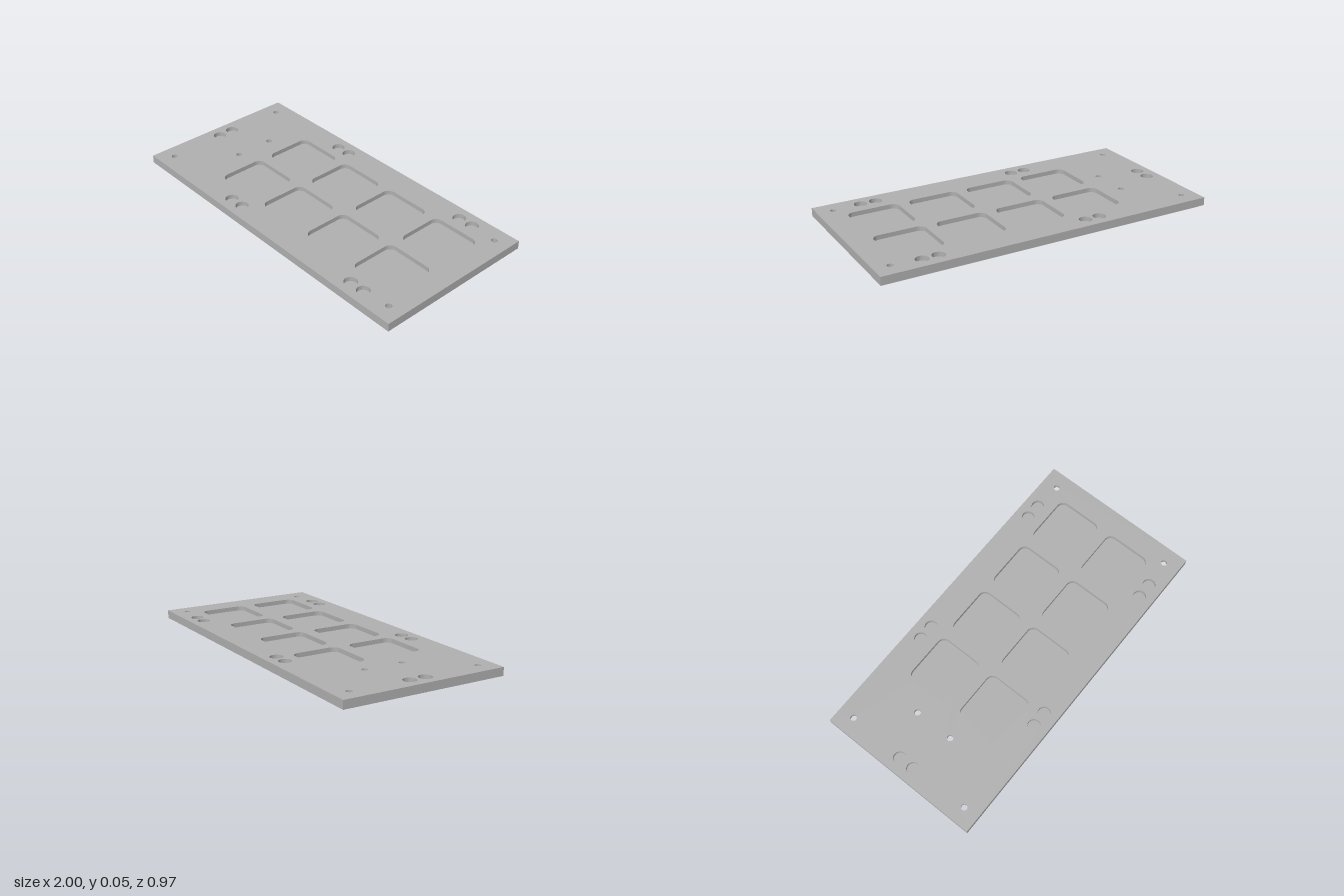
import * as THREE from 'three';
import { toCreasedNormals } from 'three/addons/utils/BufferGeometryUtils.js';

const H = 0.048, HALF_X = 1, HALF_Z = 0.486;
const RECESS_Y = 0.022, BORE_Y = 0.025;
const SCREW_R = 0.0175, BORE_R = 0.032, CUP_R = 0.037;

// Outlines are drawn in plan, with shape y = -z, counter-clockwise
function circle(x, z, r) {
  return new THREE.Shape().absarc(x, -z, r, 0, Math.PI * 2, false);
}

function roundedRect(x, z, w, d, r) {
  const s = new THREE.Shape(), a = w / 2 - r, b = d / 2 - r, y = -z, q = Math.PI / 2;
  s.absarc(x + a, y + b, r, 0, q, false);
  s.absarc(x - a, y + b, r, q, 2 * q, false);
  s.absarc(x - a, y - b, r, 2 * q, 3 * q, false);
  s.absarc(x + a, y - b, r, 3 * q, 4 * q, false);
  return s;
}

function rect(hx, hz) {
  return new THREE.Shape([[-hx, -hz], [hx, -hz], [hx, hz], [-hx, hz]].map(p => new THREE.Vector2(...p)));
}

// Upright wall following an outline; inward for the sides of a hole
function wall(shape, y0, y1, inward) {
  const pts = shape.getPoints(16);
  if (pts[0].distanceTo(pts[pts.length - 1]) < 1e-6) pts.pop();
  if (inward) pts.reverse();
  const pos = [];
  pts.forEach((a, i) => {
    const b = pts[(i + 1) % pts.length];
    if (a.distanceTo(b) < 1e-6) return;
    pos.push(a.x, y0, -a.y, b.x, y0, -b.y, b.x, y1, -b.y);
    pos.push(a.x, y0, -a.y, b.x, y1, -b.y, a.x, y1, -a.y);
  });
  const g = new THREE.BufferGeometry();
  g.setAttribute('position', new THREE.Float32BufferAttribute(pos, 3));
  return toCreasedNormals(g, 0.6);
}

// Flat face looking up at height y
function faceUp(shape, y) {
  return new THREE.ShapeGeometry(shape, 16).rotateX(-Math.PI / 2).translate(0, y, 0);
}

export function createModel() {
  const model = new THREE.Group();
  model.name = 'mountingPlate';
  const metal = new THREE.MeshStandardMaterial({ color: 0xb0b0b0 });
  metal.name = 'plain grey';

  const add = (name, geometry) => {
    const mesh = new THREE.Mesh(geometry, metal);
    mesh.name = name;
    model.add(mesh);
  };

  // Layout of rounded pockets, round cups and screw holes
  const pockets = [], cups = [];
  for (const z of [-0.177, 0.175])
    for (let i = 0; i < 4; i++) pockets.push(roundedRect(-0.388 + i * 0.3665, z, 0.302, 0.282, 0.042));
  for (const x of [-0.327, -0.236, 0.65, 0.742])
    for (const z of [-0.406, 0.406]) cups.push(circle(x, z, CUP_R));
  for (const z of [-0.048, 0.046]) cups.push(circle(-0.921, z, CUP_R));
  const screws = [[-0.666, -0.139], [-0.666, 0.093]];
  for (const x of [-0.908, 0.908]) for (const z of [-0.393, 0.393]) screws.push([x, z]);

  // Top face, open over every recess and hole
  const top = rect(HALF_X, HALF_Z);
  top.holes.push(...pockets, ...cups, ...screws.map(([x, z]) => circle(x, z, SCREW_R)));
  add('topFace', faceUp(top, H));
  add('outerEdge', wall(rect(HALF_X, HALF_Z), 0, H, false));

  // Underside, open at the wider counterbores
  const bottom = rect(HALF_X, HALF_Z);
  bottom.holes.push(...screws.map(([x, z]) => circle(x, -z, BORE_R)));
  add('underside', new THREE.ShapeGeometry(bottom, 16).rotateX(Math.PI / 2));

  // Blind recesses in the top
  for (const [name, list] of [['pocket', pockets], ['cup', cups]]) {
    for (const shape of list) {
      add(name + 'Wall', wall(shape, RECESS_Y, H, true));
      add(name + 'Floor', faceUp(shape, RECESS_Y));
    }
  }

  // Through holes, counterbored from below
  for (const [x, z] of screws) {
    add('screwHole', wall(circle(x, z, SCREW_R), BORE_Y, H, true));
    add('counterboreWall', wall(circle(x, z, BORE_R), 0, BORE_Y, true));
    add('counterboreSeat', new THREE.RingGeometry(SCREW_R, BORE_R, 32).rotateX(Math.PI / 2).translate(x, BORE_Y, z));
  }
  return model;
}
